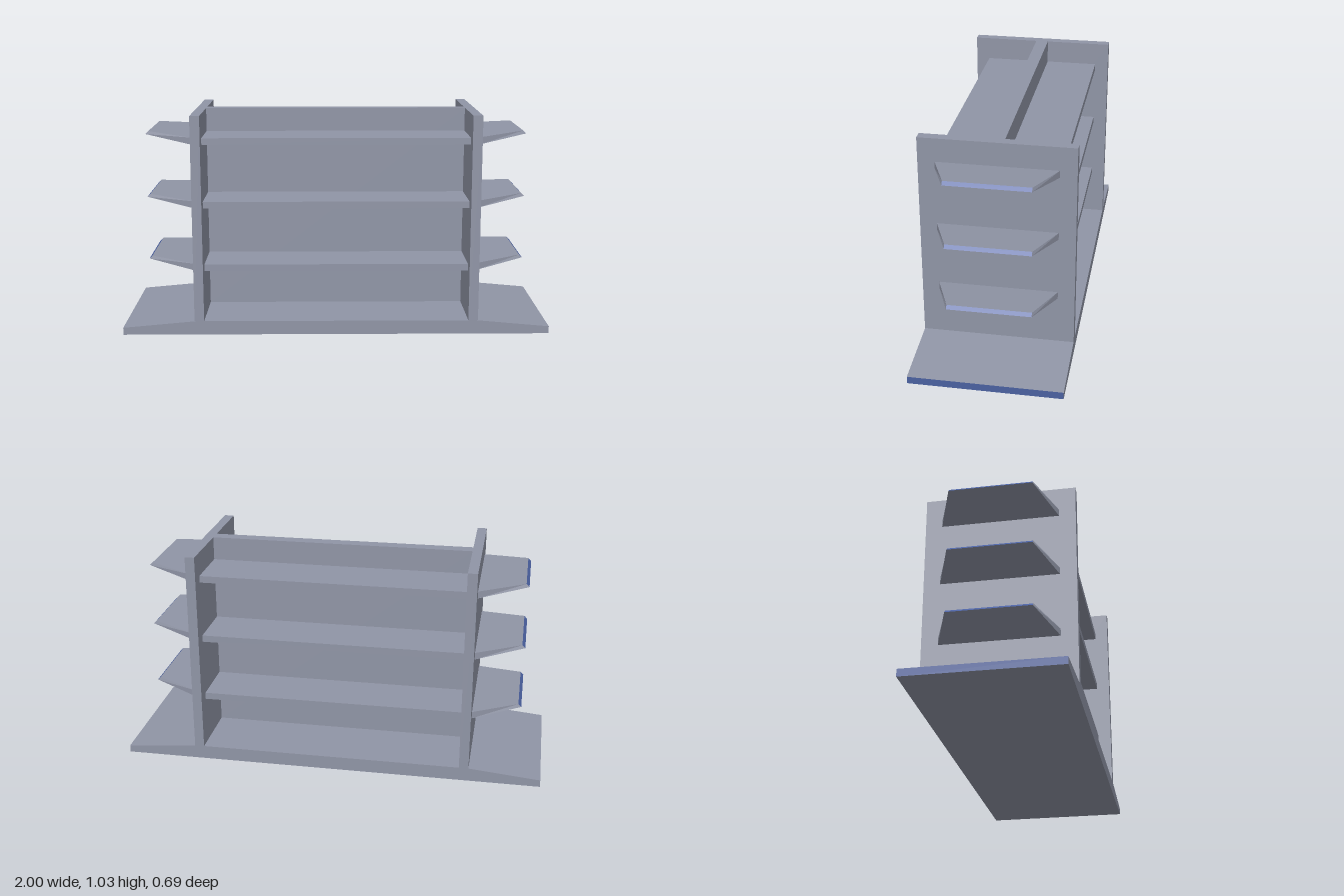
import * as THREE from 'three';

export function createModel() {
  const model = new THREE.Group();
  model.name = 'doubleSidedShelfUnit';
  const grey = new THREE.MeshStandardMaterial({ name: 'greyMetal', color: 0x9095a6 });
  const blue = new THREE.MeshStandardMaterial({ name: 'blueEdge', color: 0x4a60a0 });

  // Box given by its lower and upper corners
  function box(name, [x0, y0, z0], [x1, y1, z1], parent = model) {
    const mesh = new THREE.Mesh(new THREE.BoxGeometry(x1 - x0, y1 - y0, z1 - z0), grey);
    mesh.position.set((x0 + x1) / 2, (y0 + y1) / 2, (z0 + z1) / 2);
    mesh.name = name;
    parent.add(mesh);
  }

  // Tapered slab with a blue outer (+x) edge; each end is { xBottom, xTop, bottom, top, halfZ }
  function slab(name, inner, outer, parent) {
    const geometry = new THREE.BoxGeometry(1, 1, 1);
    const p = geometry.attributes.position;
    for (let i = 0; i < p.count; i++) {
      const end = p.getX(i) > 0 ? outer : inner;
      const up = p.getY(i) > 0;
      p.setXYZ(i, up ? end.xTop : end.xBottom, up ? end.top : end.bottom, Math.sign(p.getZ(i)) * end.halfZ);
    }
    const flat = geometry.toNonIndexed();
    flat.groups = geometry.groups.map((g) => ({ ...g }));
    flat.computeVertexNormals();
    const mesh = new THREE.Mesh(flat, [blue, grey, grey, grey, grey, grey]);
    mesh.name = name;
    parent.add(mesh);
  }

  const depth = 0.345;
  const levels = [0.29, 0.59, 0.888];

  // Base and central back panel
  box('base', [-0.66, 0, -depth], [0.66, 0.065, depth]);
  box('backPanel', [-0.62, 0.065, -0.03], [0.62, 1.03, 0.03]);

  // Long shelves on both faces
  for (const y of levels) {
    box('frontShelf', [-0.62, y, 0.03], [0.62, y + 0.032, 0.28]);
    box('rearShelf', [-0.62, y, -0.28], [0.62, y + 0.032, -0.03]);
  }

  // Matching ends: upright, sloped base wing and tapered end shelves
  for (const [name, angle] of [['leftEnd', 0], ['rightEnd', Math.PI]]) {
    const end = new THREE.Group();
    end.name = name;
    end.rotation.y = angle;
    box('endPanel', [0.62, 0.065, -depth], [0.665, 1.03, depth], end);
    slab('baseWing',
      { xBottom: 0.66, xTop: 0.66, bottom: 0, top: 0.065, halfZ: depth },
      { xBottom: 1, xTop: 1, bottom: 0, top: 0.034, halfZ: depth }, end);
    for (const y of levels) {
      slab('endShelf',
        { xBottom: 0.663, xTop: 0.663, bottom: y, top: y + 0.033, halfZ: 0.27 },
        { xBottom: 0.89, xTop: 0.876, bottom: y + 0.039, top: y + 0.053, halfZ: 0.187 }, end);
    }
    model.add(end);
  }
  return model;
}
